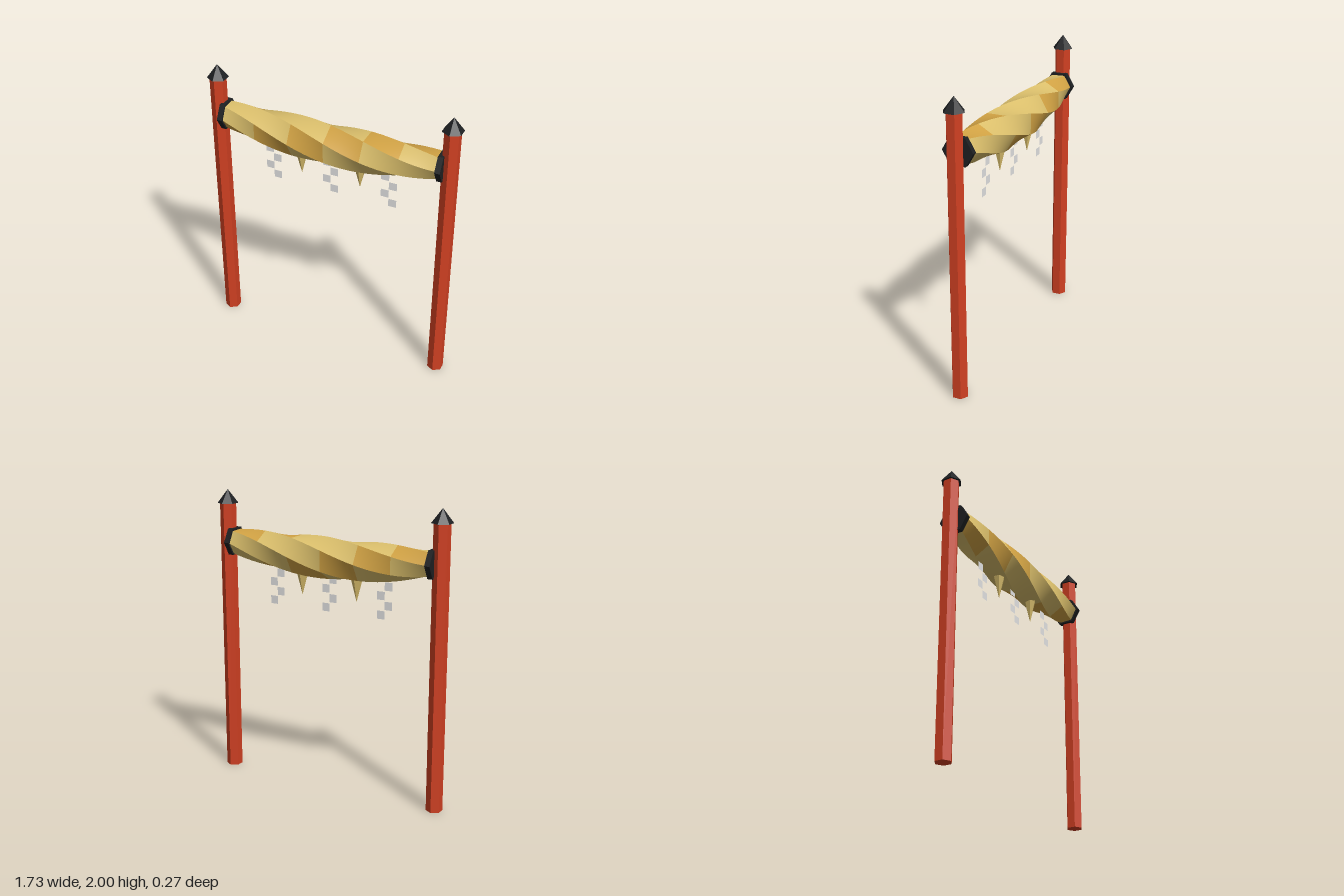
import * as THREE from 'three';

const material = (name, color, extra = {}) => {
  const m = new THREE.MeshStandardMaterial({ color, ...extra });
  m.name = name;
  return m;
};

export function createModel() {
  const red = material('vermilion', 0xd04022, { flatShading: true });
  const black = material('black', 0x1e2022, { flatShading: true });
  const straw = material('pale straw', 0xdcc06c);
  const strawFlat = straw;
  const gold = material('golden straw', 0xd2a344);
  const paper = material('paper', 0xececec, { side: THREE.DoubleSide });

  const model = new THREE.Group();
  model.name = 'ropeGate';
  const add = (name, geometry, mat, x, y, z = 0) => {
    const mesh = new THREE.Mesh(geometry, mat);
    mesh.name = name;
    mesh.position.set(x, y, z);
    model.add(mesh);
    return mesh;
  };

  // Hexagonal posts with pointed caps, and collars holding the rope
  for (const [side, s] of [['left', 1], ['right', -1]]) {
    add(side + 'Post', new THREE.CylinderGeometry(0.055, 0.055, 1.91, 6), red, s * 0.802, 0.955);
    add(side + 'PostCap', new THREE.ConeGeometry(0.071, 0.093, 6), black, s * 0.802, 1.9535);
    add(side + 'Collar', new THREE.CylinderGeometry(0.104, 0.104, 0.036, 6), black, s * 0.752, 1.65)
      .rotation.z = Math.PI / 2;
  }

  // Twisted six-strand rope: thicker and lower toward the middle
  const HALF = 0.75, BANDS = 6, STEPS = 8, ACROSS = 2;
  const ridge = (x, strand) => {
    const bulge = 1 - (x / HALF) ** 2;
    const r = 0.087 + 0.053 * bulge;
    const a = (strand - 0.5) * Math.PI / 3 - x * Math.PI * 2 / 3;
    return new THREE.Vector3(x, 1.65 - 0.044 * bulge + r * Math.sin(a), r * Math.cos(a));
  };
  for (let k = 0; k < 6; k++) {
    const points = [], index = [];
    const geometry = new THREE.BufferGeometry();
    const row = ACROSS + 1;
    for (let i = 0; i <= BANDS * STEPS; i++) {
      const x = -HALF + (2 * HALF * i) / (BANDS * STEPS);
      for (let j = 0; j <= ACROSS; j++) {
        points.push(...ridge(x, k).lerp(ridge(x, k + 1), j / ACROSS).toArray());
      }
    }
    for (let band = 0; band < BANDS; band++) {
      // Golden patches step diagonally around the rope
      geometry.addGroup(index.length, STEPS * ACROSS * 6, (k - band + 6) % 3 === 1 ? 1 : 0);
      for (let i = band * STEPS; i < (band + 1) * STEPS; i++) {
        for (let j = 0; j < ACROSS; j++) {
          const a = i * row + j, b = a + row;
          index.push(a, b, b + 1, a, b + 1, a + 1);
        }
      }
    }
    geometry.setAttribute('position', new THREE.Float32BufferAttribute(points, 3));
    geometry.setIndex(index);
    geometry.computeVertexNormals();
    add('ropeStrand', geometry, [straw, gold], 0, 0);
  }

  // Straw tassels hanging point down
  for (const x of [-0.207, 0.207]) {
    const cone = new THREE.ConeGeometry(0.045, 0.18, 6).toNonIndexed();
    cone.computeVertexNormals();
    add('tassel', cone, strawFlat, x, 1.427).rotation.x = Math.PI;
  }

  // Zigzag paper streamers
  for (const x of [-0.412, -0.002, 0.406]) {
    for (let i = 0; i < 4; i++) {
      add('paperStreamer', new THREE.PlaneGeometry(0.055, 0.055), paper,
        x + (i % 2 ? 0.027 : -0.027), 1.465 - i * 0.064);
    }
  }

  return model;
}
